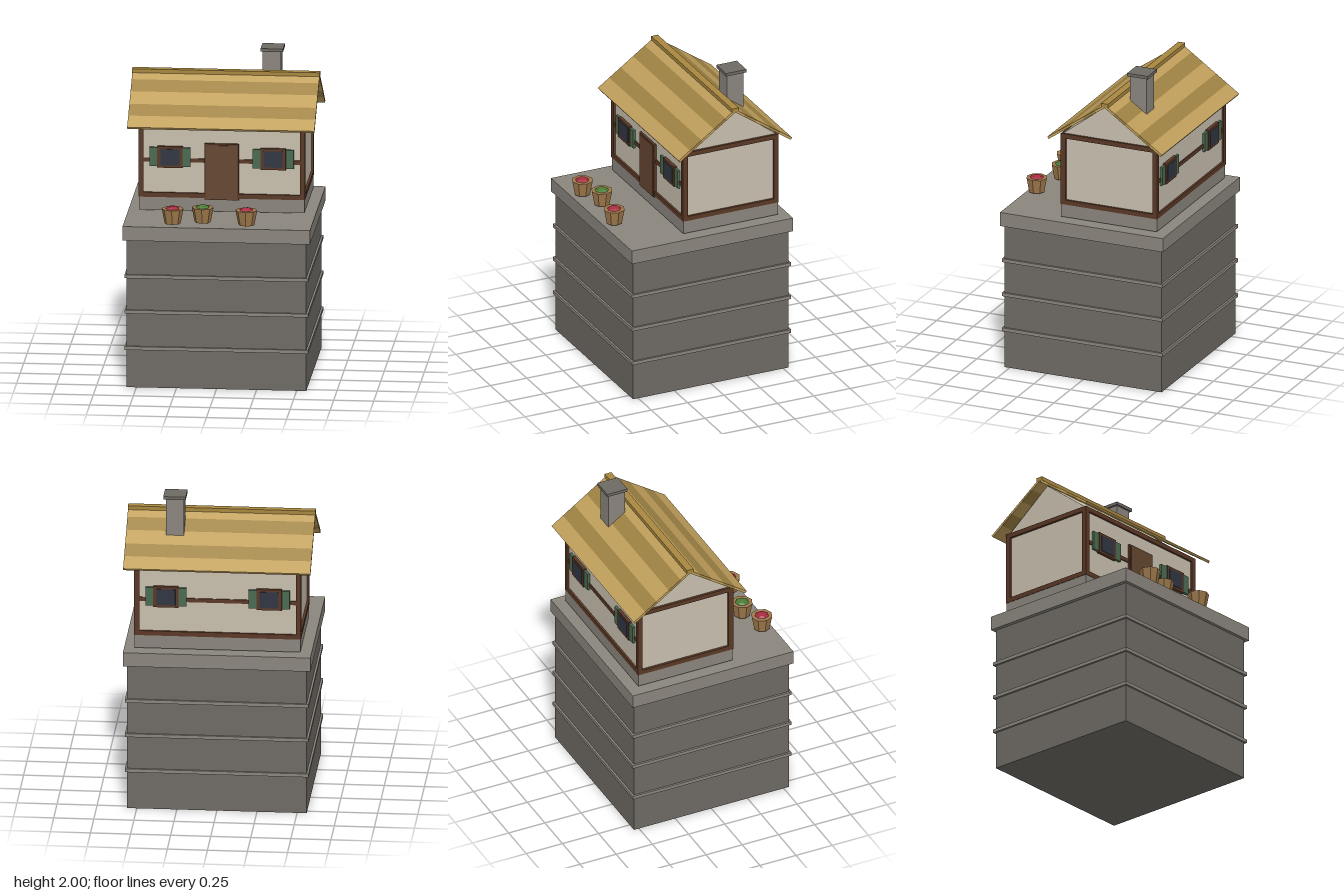
import * as THREE from 'three';

const mat = (color, extra = {}) => new THREE.MeshStandardMaterial({ color, flatShading: true, ...extra });
const M = {
  stone: mat(0x6e6a64), trim: mat(0x8a857d), wall: mat(0xc8bfae), beam: mat(0x5a3825),
  door: mat(0x654630), glass: mat(0x2f3542), shutter: mat(0x4a6a50),
  thatch: mat(0xc0a05c), thatchDark: mat(0xa08344), ridge: mat(0xa8873f),
  pot: mat(0xa07a4c), red: mat(0xa82c40), green: mat(0x4a7c35),
};

// Box given by its x, y and z ranges
function box(parent, name, m, [x0, x1], [y0, y1], [z0, z1]) {
  const mesh = new THREE.Mesh(new THREE.BoxGeometry(x1 - x0, y1 - y0, z1 - z0), m);
  mesh.position.set((x0 + x1) / 2, (y0 + y1) / 2, (z0 + z1) / 2);
  mesh.name = name;
  parent.add(mesh);
  return mesh;
}
const sym = (h) => [-h, h];

function addGroup(parent, name) {
  const g = new THREE.Group();
  g.name = name;
  parent.add(g);
  return g;
}

function buildTower(root) {
  const g = addGroup(root, 'tower');
  box(g, 'towerBody', M.stone, sym(0.56), [0, 0.95], sym(0.535));
  box(g, 'towerCap', M.trim, sym(0.585), [0.945, 1.035], sym(0.555));
  for (const y of [0.253, 0.486, 0.713])
    box(g, 'stoneBand', M.trim, sym(0.573), [y - 0.011, y + 0.011], sym(0.548));
}

// Window with frame, pane and two shutters, facing +z from its own origin
function buildWindow(parent, x, z, dir) {
  const g = addGroup(parent, 'window');
  g.position.set(x, 1.389, z);
  if (dir < 0) g.rotation.y = Math.PI;
  box(g, 'windowFrame', M.beam, sym(0.079), sym(0.068), [-0.01, 0.018]);
  box(g, 'windowPane', M.glass, sym(0.059), sym(0.052), [0, 0.021]);
  for (const s of [-1, 1])
    box(g, 'shutter', M.shutter, [s * 0.102 - 0.026, s * 0.102 + 0.026], sym(0.06), [-0.01, 0.014]);
}

// The house is built around z = 0 and then moved back
function buildHouse(root) {
  const g = addGroup(root, 'house');
  g.position.z = -0.158;
  box(g, 'plinth', M.trim, sym(0.517), [1.046, 1.13], sym(0.326));
  box(g, 'walls', M.wall, sym(0.505), [1.13, 1.6], sym(0.316));

  // Gable prism
  const tri = new THREE.Shape([[-0.322, 1.595], [0.322, 1.595], [0, 1.84]].map((p) => new THREE.Vector2(...p)));
  const gableGeo = new THREE.ExtrudeGeometry(tri, { depth: 1.01, bevelEnabled: false });
  gableGeo.translate(0, 0, -0.505).rotateY(Math.PI / 2);
  const gable = new THREE.Mesh(gableGeo, M.wall);
  gable.name = 'gable';
  g.add(gable);

  // Timber frame
  for (const s of [-1, 1]) {
    const zs = [s * 0.313 - 0.016, s * 0.313 + 0.016];
    const xs = [s * 0.504 - 0.016, s * 0.504 + 0.016];
    for (const [y0, y1] of [[1.13, 1.16], [1.57, 1.6]]) {
      box(g, 'longBeam', M.beam, sym(0.515), [y0, y1], zs);
      box(g, 'sideBeam', M.beam, xs, [y0, y1], sym(0.325));
    }
    for (const x of [-0.504, 0.504])
      box(g, 'cornerPost', M.beam, [x - 0.016, x + 0.016], [1.13, 1.6], zs);
    box(g, 'middleRail', M.beam, sym(0.5), [1.355, 1.38], [s * 0.313 - 0.01, s * 0.313 + 0.01]);
    for (const x of [-0.322, 0.322]) buildWindow(g, x, s * 0.319, s);
  }

  // Door with its frame
  box(g, 'doorFrame', M.beam, sym(0.107), [1.12, 1.48], [0.3, 0.332]);
  box(g, 'door', M.door, sym(0.096), [1.122, 1.47], [0.3, 0.337]);

  buildRoof(g);

  // Chimney
  box(g, 'chimney', M.trim, [0.222, 0.335], [1.62, 1.985], [-0.174, -0.06]);
  box(g, 'chimneyCap', M.stone, [0.21, 0.35], [1.98, 2], [-0.188, -0.048]);
}

// Each slope is a row of thatch strips in alternating shades
function buildRoof(parent) {
  const g = addGroup(parent, 'roof');
  const run = 0.395, drop = 0.275, len = Math.hypot(run, drop), angle = Math.atan2(drop, run);
  const cuts = [0, 0.17, 0.375, 0.59, 0.79, 1];
  for (const s of [-1, 1]) {
    const slope = addGroup(g, 'roofSlope');
    slope.position.y = 1.862;
    slope.rotation.set(angle, s < 0 ? Math.PI : 0, 0, 'YXZ');
    for (let i = 0; i < 5; i++)
      box(slope, 'thatchStrip', i % 2 ? M.thatchDark : M.thatch, sym(0.584), [-0.016, 0],
        [cuts[i] * len, cuts[i + 1] * len - (i === 4 ? 0.005 : 0)]);
  }
  box(g, 'ridgeCap', M.ridge, sym(0.585), [1.845, 1.871], sym(0.023));
}

function buildPot(root, x, z, plantMat) {
  const g = addGroup(root, 'flowerPot');
  g.position.set(x, 1.047, z);
  const pot = new THREE.Mesh(new THREE.CylinderGeometry(0.068, 0.05, 0.093, 8), M.pot);
  pot.position.y = 0.0465;
  pot.name = 'pot';
  const plant = new THREE.Mesh(new THREE.SphereGeometry(0.053, 7, 5), plantMat);
  plant.scale.y = 0.6;
  plant.position.y = 0.078;
  plant.name = 'plant';
  g.add(pot, plant);
}

export function createModel() {
  const root = new THREE.Group();
  root.name = 'towerCottage';
  buildTower(root);
  buildHouse(root);
  buildPot(root, -0.278, 0.485, M.red);
  buildPot(root, -0.095, 0.438, M.green);
  buildPot(root, 0.182, 0.485, M.red);
  return root;
}
